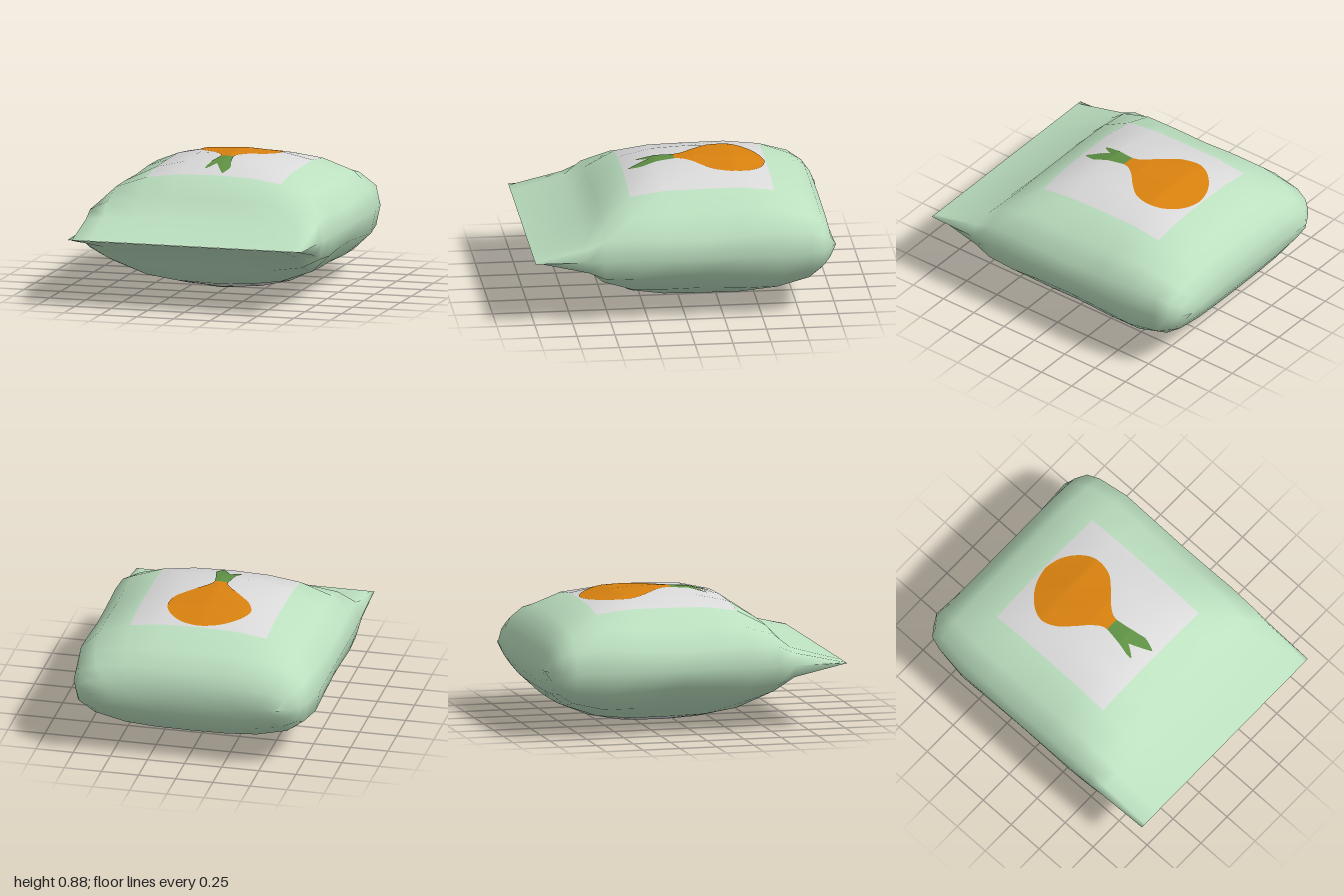
import * as THREE from 'three';
import { mergeVertices } from 'three/addons/utils/BufferGeometryUtils.js';

const MID = 0.435, WIDE = 0.82;
// cross-sections from the flat front seam to the back: z, half width, half height, squareness
const SECTIONS = [
  [1, 0.8, 0.0005, 8], [0.65, 0.81, 0.105, 6], [0.54, 0.815, 0.225, 3.6], [0.34, WIDE, 0.36, 2.5],
  [0.12, WIDE, 0.42, 2.1], [-0.12, WIDE, 0.435, 2], [-0.38, WIDE, 0.42, 2.2], [-0.61, WIDE, 0.37, 2.6],
  [-0.82, 0.79, 0.28, 3], [-0.91, 0.76, 0.19, 3.4], [-0.96, 0.69, 0.11, 4], [-0.98, 0.62, 0, 4],
];
const half = [1, 0.963, 0.817, 0.561, 0.305];
const COLS = [...half, 0, ...half.map((t) => -t).reverse()];
const N = COLS.length - 1;

const rise = (j, i) => {
  const [, , h, n] = SECTIONS[j];
  return h * Math.pow(Math.max(0, 1 - Math.pow(Math.abs(COLS[i]), n)), 1 / n);
};

const material = (name, color) => Object.assign(new THREE.MeshStandardMaterial({ color }), { name });

// Height of the bag's upper surface inside the label area
function topHeight(x, z) {
  const t = x / WIDE;
  let i = 0, j = 0;
  while (i < N - 1 && COLS[i + 1] > t) i++;
  while (j < SECTIONS.length - 2 && SECTIONS[j + 1][0] > z) j++;
  const u = (t - COLS[i]) / (COLS[i + 1] - COLS[i]);
  const v = (z - SECTIONS[j][0]) / (SECTIONS[j + 1][0] - SECTIONS[j][0]);
  const a = rise(j, i), b = rise(j, i + 1), c = rise(j + 1, i + 1), d = rise(j + 1, i);
  return MID + (v > u ? a + v * (d - a) + u * (c - d) : a + u * (b - a) + v * (c - b));
}

// Pillow-shaped bag; label faces go in a second material group
function bagGeometry() {
  const pos = [], bag = [], label = [], ring = 2 * N, last = SECTIONS.length - 1;
  SECTIONS.forEach(([z, w], j) => {
    for (let k = 0; k < ring; k++) {
      const i = k <= N ? k : ring - k;
      const t = COLS[i];
      pos.push(t * w, MID + (k <= N ? 1 : -1) * rise(j, i), j === last ? z - 0.02 * t * t : z);
    }
  });
  for (let j = 0; j < last; j++) {
    for (let k = 0; k < ring; k++) {
      const k2 = (k + 1) % ring;
      const a = j * ring + k, b = j * ring + k2, c = b + ring, d = a + ring;
      const onLabel = j >= 3 && j < 7 && k % N >= 3 && k % N < 7;
      (onLabel ? label : bag).push(a, d, c, a, c, b);
    }
  }
  let geo = new THREE.BufferGeometry();
  geo.setAttribute('position', new THREE.Float32BufferAttribute(pos, 3));
  geo.setIndex([...bag, ...label]);
  geo = mergeVertices(geo);
  geo.clearGroups();
  geo.addGroup(0, bag.length, 0);
  geo.addGroup(bag.length, label.length, 1);
  geo.computeVertexNormals();
  return geo;
}

// Thin print draped on the bag, from rows of [z, left, right] ordered front to back
function printGeometry(rows) {
  const curve = new THREE.CatmullRomCurve3(rows.map((r) => new THREE.Vector3(...r)), false, 'centripetal');
  const along = 48, across = 20, pos = [], index = [];
  for (let j = 0; j <= along; j++) {
    const r = curve.getPoint(j / along);
    for (let i = 0; i <= across; i++) {
      const x = r.y + ((r.z - r.y) * i) / across;
      pos.push(x, topHeight(x, r.x) + 0.004, r.x);
      if (j < along && i < across) {
        const a = j * (across + 1) + i, d = a + across + 1;
        index.push(a, a + 1, d + 1, a, d + 1, d);
      }
    }
  }
  const geo = new THREE.BufferGeometry();
  geo.setAttribute('position', new THREE.Float32BufferAttribute(pos, 3));
  geo.setIndex(index);
  geo.computeVertexNormals();
  return geo;
}

export function createModel() {
  const model = new THREE.Group();
  model.name = 'seedBag';
  const bagGreen = material('bagGreen', 0xbce0c0);
  const labelWhite = material('labelWhite', 0xdadada);
  const rootOrange = material('rootOrange', 0xd9820f);
  const leafGreen = material('leafGreen', 0x5f9144);

  const bag = new THREE.Mesh(bagGeometry(), [bagGreen, labelWhite]);
  bag.name = 'bagWithLabels';
  model.add(bag);

  const prints = [
    ['root', rootOrange, [[0, -0.055, 0.035], [-0.04, -0.065, 0.045], [-0.1, -0.11, 0.09],
      [-0.18, -0.19, 0.175], [-0.26, -0.26, 0.24], [-0.36, -0.295, 0.262], [-0.44, -0.27, 0.245],
      [-0.52, -0.2, 0.185], [-0.57, -0.12, 0.115], [-0.592, -0.05, 0.05], [-0.6, -0.005, 0.005]]],
    ['stem', leafGreen, [[0.165, -0.08, 0.065], [0.08, -0.066, 0.047], [0, -0.055, 0.035]]],
    ['shortLeaf', leafGreen, [[0.24, -0.09, -0.08], [0.2, -0.088, -0.05], [0.165, -0.08, -0.03]]],
    ['longLeaf', leafGreen, [[0.305, 0.045, 0.052], [0.27, 0.025, 0.065], [0.22, -0.002, 0.077],
      [0.165, -0.03, 0.065]]],
  ];

  // The same picture is printed on both faces, turned half around the long axis
  for (const side of ['top', 'bottom']) {
    const picture = new THREE.Group();
    picture.name = side + 'Picture';
    for (const [name, mat, rows] of prints) {
      const mesh = new THREE.Mesh(printGeometry(rows), mat);
      mesh.name = name;
      picture.add(mesh);
    }
    if (side === 'bottom') {
      picture.rotation.z = Math.PI;
      picture.position.y = 2 * MID;
    }
    model.add(picture);
  }
  return model;
}
